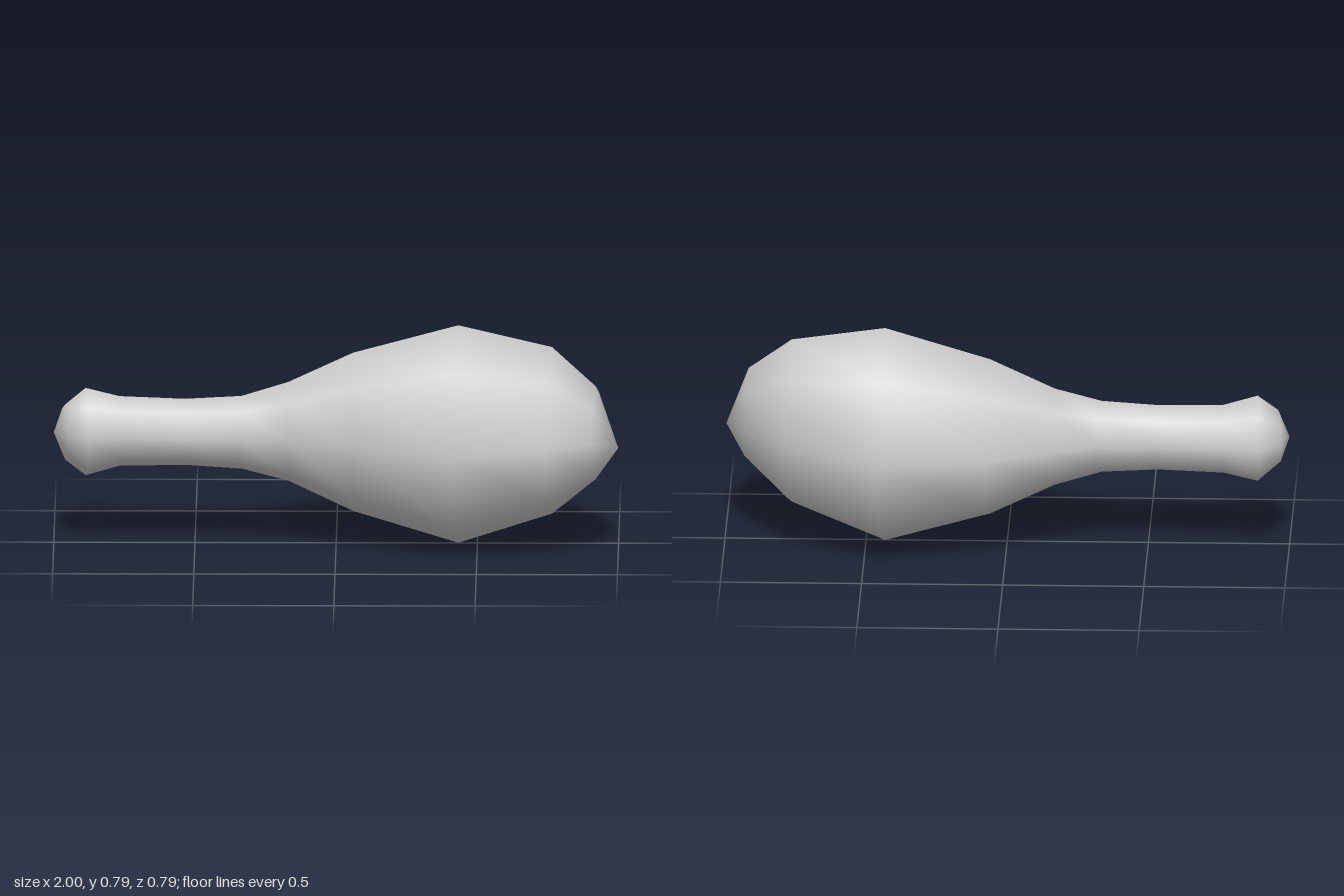
import * as THREE from 'three';

const SIDES = 8;

// Tilted cross-sections along the drumstick:
// [back x, back z, front x, front z, bottom y, top y]
const RINGS = [
  [-0.975, -0.10, -0.945, 0.095, 0.30, 0.50],
  [-0.90, -0.175, -0.875, 0.14, 0.24, 0.557],
  [-0.77, -0.155, -0.765, 0.10, 0.272, 0.525],
  [-0.54, -0.138, -0.53, 0.103, 0.278, 0.518],
  [-0.33, -0.145, -0.34, 0.12, 0.266, 0.53],
  [-0.17, -0.205, -0.17, 0.155, 0.22, 0.578],
  [0.06, -0.315, 0.06, 0.265, 0.11, 0.685],
  [0.45, -0.397, 0.415, 0.39, 0.0, 0.79],
  [0.78, -0.26, 0.75, 0.37, 0.12, 0.725],
  [0.935, -0.06, 0.905, 0.295, 0.26, 0.597],
];
const BONE_TIP = [-1, 0.4, 0];
const MEAT_TIP = [1, 0.38, 0.15];

// Skin the octagonal rings and close both ends with a fan to a point
function loft(rings, startTip, endTip) {
  const positions = [];
  const index = [];
  for (const [bx, bz, fx, fz, y0, y1] of rings) {
    for (let s = 0; s < SIDES; s++) {
      const a = (s / SIDES) * Math.PI * 2;
      const c = Math.cos(a) / 2;
      positions.push(
        (bx + fx) / 2 + (fx - bx) * c,
        (y0 + y1) / 2 + (y1 - y0) * Math.sin(a) / 2,
        (bz + fz) / 2 + (fz - bz) * c
      );
    }
  }
  const start = rings.length * SIDES;
  const end = start + 1;
  positions.push(...startTip, ...endTip);

  const last = (rings.length - 1) * SIDES;
  for (let s = 0; s < SIDES; s++) {
    const n = (s + 1) % SIDES;
    index.push(start, s, n);
    for (let r = 0; r < last; r += SIDES) {
      const a = r + s, b = r + n;
      index.push(a, a + SIDES, b, b, a + SIDES, b + SIDES);
    }
    index.push(last + s, end, last + n);
  }

  const geometry = new THREE.BufferGeometry();
  geometry.setAttribute('position', new THREE.Float32BufferAttribute(positions, 3));
  geometry.setIndex(index);
  geometry.computeVertexNormals();
  return geometry;
}

export function createModel() {
  const group = new THREE.Group();
  group.name = 'drumstick';

  // One continuous skin: knobbed bone end, thin shank and bulging meat
  const body = new THREE.Mesh(
    loft(RINGS, BONE_TIP, MEAT_TIP),
    new THREE.MeshStandardMaterial({ color: 0xcccccc })
  );
  body.name = 'drumstickBody';
  group.add(body);
  return group;
}
